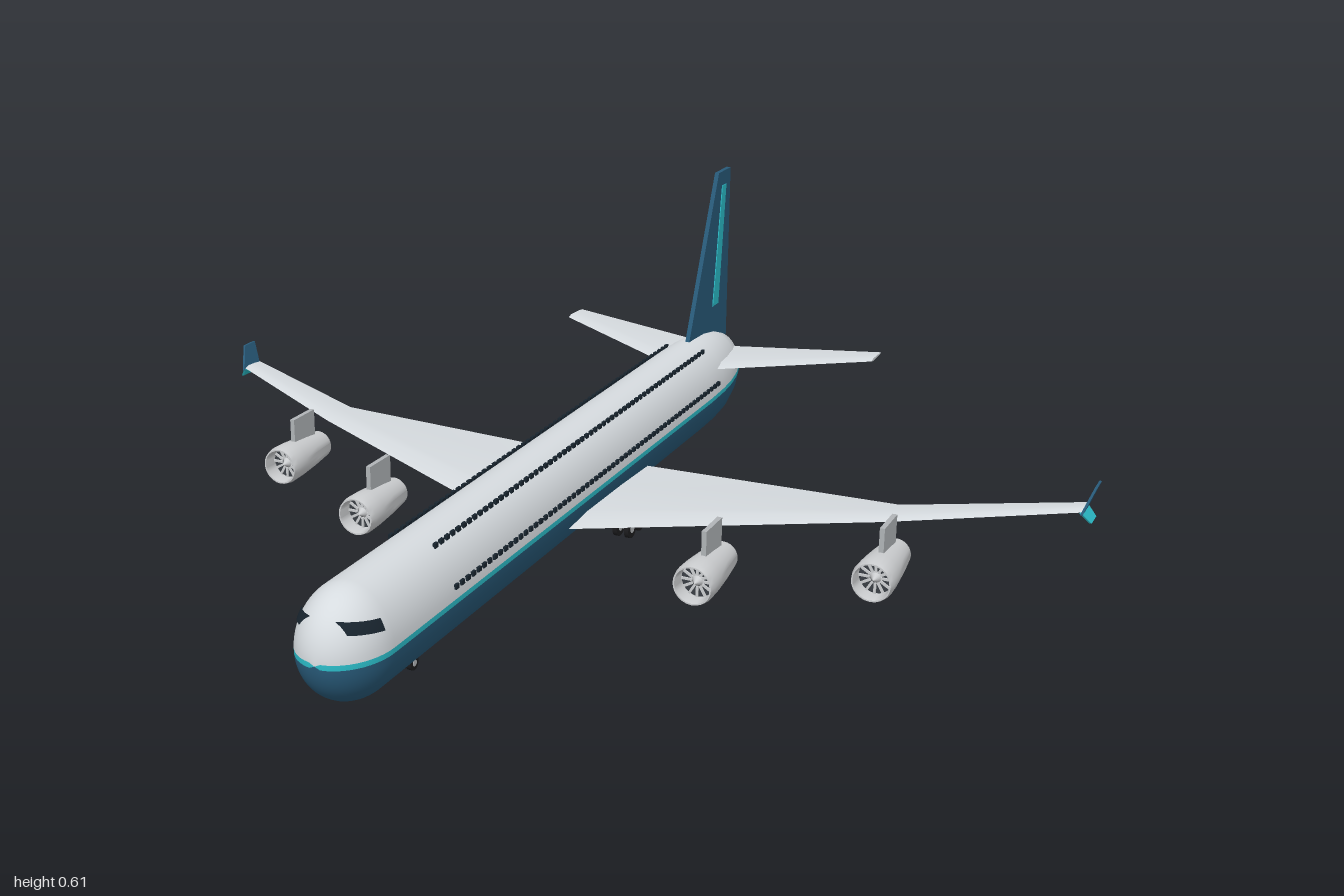
import * as THREE from 'three';
import { mergeGeometries, toCreasedNormals } from 'three/addons/utils/BufferGeometryUtils.js';

const mat = (name, color) => Object.assign(new THREE.MeshStandardMaterial({ color }), { name });

// Smooth surface from f(u, v), faces outward where du x dv points outward
function grid(nu, nv, f, flip = false) {
  const pos = [], idx = [];
  for (let i = 0; i <= nu; i++) for (let j = 0; j <= nv; j++) pos.push(...f(i, j));
  for (let i = 0; i < nu; i++) for (let j = 0; j < nv; j++) {
    const a = i * (nv + 1) + j, b = a + nv + 1;
    if (flip) idx.push(a, b + 1, b, a, a + 1, b + 1);
    else idx.push(a, b, b + 1, a, b + 1, a + 1);
  }
  const g = new THREE.BufferGeometry();
  g.setAttribute('position', new THREE.Float32BufferAttribute(pos, 3));
  g.setIndex(idx);
  g.computeVertexNormals();
  return g;
}

// Fuselage half width, upper half height and lower half height along z
const WAIST = 0.138, BAND = 0.005;
const TAIL = [
  [-0.58, 0.087, 0.111, 0.102], [-0.66, 0.084, 0.11, 0.102], [-0.72, 0.078, 0.107, 0.099],
  [-0.78, 0.067, 0.096, 0.083], [-0.83, 0.052, 0.078, 0.064], [-0.91, 0, 0, 0],
];
function section(z) {
  if (z > 0.8) {
    const k = Math.sqrt(Math.max(0, 1 - ((z - 0.8) / 0.11) ** 2));
    return [0.087 * k, 0.111 * k, 0.102 * k];
  }
  if (z >= TAIL[0][0]) return TAIL[0].slice(1);
  const i = Math.min(TAIL.length - 2, TAIL.findLastIndex(t => t[0] >= z));
  const a = TAIL[i], b = TAIL[i + 1], t = (a[0] - z) / (a[0] - b[0]);
  return [1, 2, 3].map(k => a[k] + (b[k] - a[k]) * t);
}
function hullPoint(z, th, grow = 1) {
  const [w, up, down] = section(z), s = Math.sin(th);
  return [w * Math.cos(th) * grow, WAIST + s * (s > 0 ? up : down) * grow, z];
}
const angleAt = (dy, h) => Math.asin(Math.min(1, dy / Math.max(h, 1e-6)));

// Flat plate drawn as [z, y] points, with its thickness along x
function plate(points, thick) {
  const s = new THREE.Shape(points.map(p => new THREE.Vector2(...p)));
  return new THREE.ExtrudeGeometry(s, { depth: thick, bevelEnabled: false })
    .rotateY(-Math.PI / 2).translate(thick / 2, 0, 0);
}

// Lofted wing through stations [x, y, leading z, trailing z, thickness]
const FOIL = [[0, 0], [0.2, 0.5], [0.65, 0.35], [1, 0], [0.65, -0.35], [0.2, -0.5], [0, 0]];
function wing(stations, side) {
  const [x, y, a, b] = stations.at(-1), m = (a + b) / 2;
  const st = [...stations, [x, y, m, m, 0]];
  const g = grid(st.length - 1, FOIL.length - 1, (i, j) => {
    const [sx, sy, lead, trail, t] = st[i], [c, h] = FOIL[j];
    return [sx * side, sy + h * t, lead + (trail - lead) * c];
  }, side < 0);
  return toCreasedNormals(g, 0.6);
}

export function createModel() {
  const model = new THREE.Group();
  model.name = 'airliner';
  const hull = mat('hull grey', 0xd6dbdf), blue = mat('deep blue', 0x285a79);
  const teal = mat('teal', 0x2bbcc8), glass = mat('window dark', 0x18242e);
  const nacelle = mat('nacelle grey', 0xcbcdcf), pylonGrey = mat('pylon grey', 0xb0b4b7);
  const tyre = mat('tyre black', 0x1c1c1e), metal = mat('gear metal', 0xb4b8bb);
  const fanDark = mat('fan dark', 0x3a3f44);
  const add = (name, geo, m, parent = model) => {
    const mesh = new THREE.Mesh(geo, m);
    mesh.name = name;
    parent.add(mesh);
    return mesh;
  };

  // Fuselage skins: upper, belly and the waist stripe
  const rings = [];
  for (let i = 0; i <= 12; i++) rings.push(0.8 + 0.11 * Math.cos(i / 12 * Math.PI / 2));
  rings.push(0.3, -0.2, ...TAIL.map(t => t[0]));
  const skin = (name, n, m, range) => add(name, grid(rings.length - 1, n, (i, j) => {
    const [, up, down] = section(rings[i]);
    const [a, b] = range(angleAt(BAND, up), angleAt(BAND, down));
    return hullPoint(rings[i], a + (b - a) * j / n);
  }), m);
  skin('upperFuselage', 24, hull, u => [u, Math.PI - u]);
  skin('belly', 24, blue, (u, d) => [Math.PI + d, 2 * Math.PI - d]);
  skin('leftStripe', 2, teal, (u, d) => [-d, u]);
  skin('rightStripe', 2, teal, (u, d) => [Math.PI - u, Math.PI + d]);

  // Two rows of cabin windows on each side
  const panes = [];
  for (const s of [-1, 1]) for (const [x, y] of [[0.045, 0.236], [0.0855, 0.166]])
    for (let i = 0; i <= 60; i++)
      panes.push(new THREE.BoxGeometry(0.006, 0.009, 0.011).translate(s * x, y, 0.59 - i * 0.0201));
  add('cabinWindows', mergeGeometries(panes), glass);

  // Tail fin with a stripe on both faces
  add('fin', plate([[-0.63, 0.24], [-0.787, 0.61], [-0.858, 0.61], [-0.858, 0.19], [-0.7, 0.2]], 0.01), blue);
  add('finStripe', plate([[-0.807, 0.577], [-0.83, 0.577], [-0.8, 0.298], [-0.767, 0.298]], 0.014), teal);

  // Engine parts shared by all four
  const V = (x, y) => new THREE.Vector2(x, y);
  const shell = toCreasedNormals(new THREE.LatheGeometry([V(0, -0.07), V(0.025, -0.07), V(0.03, -0.079),
    V(0.037, -0.02), V(0.041, 0.03), V(0.042, 0.065), V(0.039, 0.078), V(0.036, 0.078),
    V(0.034, 0.068), V(0.034, 0.044)], 24).rotateX(Math.PI / 2), 0.7);
  const blades = [];
  for (let i = 0; i < 12; i++)
    blades.push(new THREE.BoxGeometry(0.005, 0.022, 0.003).translate(0, 0.022, 0.05).rotateZ(i * Math.PI / 6));
  const fan = mergeGeometries(blades);
  const spinner = new THREE.ConeGeometry(0.012, 0.02, 16).rotateX(Math.PI / 2).translate(0, 0, 0.056);

  for (const s of [-1, 1]) {
    const n = s > 0 ? 'left' : 'right';

    // Cockpit window curved over the nose
    add(n + 'CockpitWindow', grid(6, 3, (i, j) => {
      const z = 0.88 - 0.06 * i / 6, y = 0.188 - 0.008 * i / 6 + 0.02 * j / 3;
      const p = hullPoint(z, angleAt(y - WAIST, section(z)[1]), 1.04);
      return [s * p[0], p[1], z];
    }, s < 0), glass);

    // Main wing and tailplane
    add(n + 'Wing', wing([[0.04, 0.096, 0.155, -0.242, 0.02], [0.64, 0.125, -0.11, -0.207, 0.012],
      [0.982, 0.144, -0.283, -0.342, 0.007]], s), hull);
    add(n + 'Tailplane', wing([[0.02, 0.19, -0.61, -0.815, 0.014], [0.395, 0.21, -0.8, -0.8, 0.006]]
      .map((t, i) => i ? [0.385, 0.209, -0.8, -0.875, 0.007] : t), s), hull);

    // Winglet leaning outward above and below the tip
    const lean = (pts, k) => {
      const g = plate(pts, 0.005), p = g.attributes.position;
      for (let i = 0; i < p.count; i++) p.setX(i, p.getX(i) + s * (0.98 + k * (p.getY(i) - 0.14)));
      g.computeVertexNormals();
      return g;
    };
    add(n + 'UpperWinglet', lean([[-0.275, 0.14], [-0.308, 0.19], [-0.347, 0.19], [-0.338, 0.14]], 0.36), blue);
    add(n + 'LowerWinglet', lean([[-0.278, 0.142], [-0.336, 0.142], [-0.335, 0.12], [-0.292, 0.12]], -0.8), teal);

    // Engines with pylons
    for (const [x, z, tag] of [[0.37, 0.128, 'Inner'], [0.665, -0.035, 'Outer']]) {
      const e = new THREE.Group();
      e.name = n + tag + 'Engine';
      e.position.set(s * x, 0.064, z);
      add('nacelle', shell, nacelle, e);
      add('fanDisc', new THREE.CircleGeometry(0.035, 24).translate(0, 0, 0.046), fanDark, e);
      add('fanBlades', fan, nacelle, e);
      add('spinner', spinner, nacelle, e);
      add('pylon', new THREE.BoxGeometry(0.01, 0.058, 0.078).translate(0, 0.061, -0.016), pylonGrey, e);
      model.add(e);
    }

    // Six-wheel main gear under the wing and the body
    for (const [x, z, top, tag] of [[0.098, -0.127, 0.1, 'Wing'], [0.056, -0.312, 0.08, 'Body']])
      gear(n + tag + 'Gear', s * x, z, top, 0.02, 0.013, [-0.043, 0, 0.043]);
  }
  gear('noseGear', 0, 0.62, 0.06, 0.014, 0.009, [0]);

  // Strut, axles and paired wheels with pale hubs
  function gear(name, x, z, top, r, half, axles) {
    const g = new THREE.Group();
    g.name = name;
    g.position.set(x, r, z);
    const h = top - r;
    add('strut', new THREE.CylinderGeometry(0.005, 0.005, h, 10).translate(0, h / 2, 0), metal, g);
    if (axles.length > 1) add('beam', new THREE.BoxGeometry(0.006, 0.006, 0.09), metal, g);
    for (const dz of axles) {
      const rod = (rad, len, dx, seg) => new THREE.CylinderGeometry(rad, rad, len, seg)
        .rotateZ(Math.PI / 2).translate(dx, 0, dz);
      add('axle', rod(0.003, half * 2, 0, 8), metal, g);
      for (const d of [-half, half]) {
        add('tyre', rod(r, 0.01, d, 18), tyre, g);
        add('hub', rod(r * 0.45, 0.012, d, 12), metal, g);
      }
    }
    model.add(g);
  }
  return model;
}
